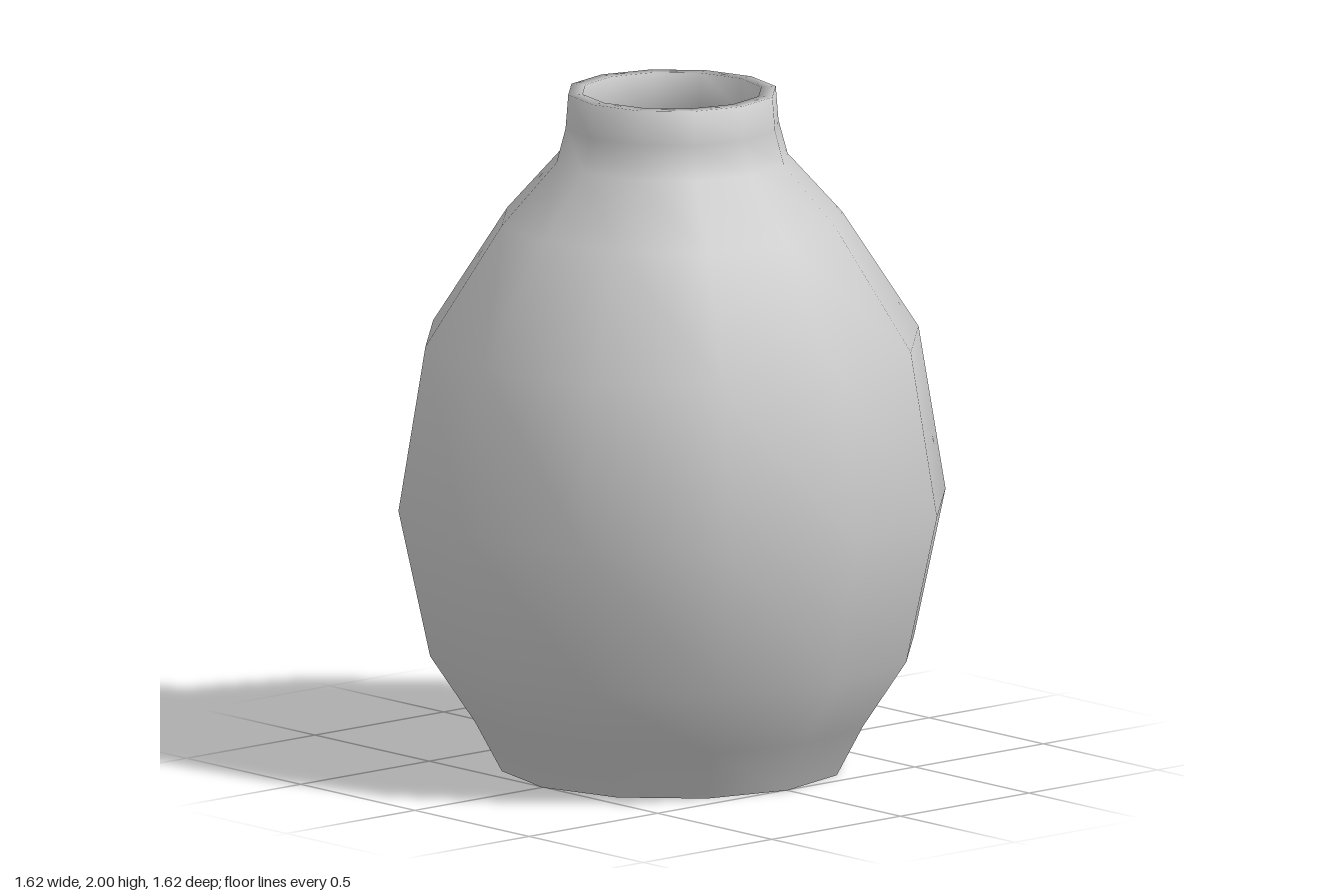
import * as THREE from 'three';

const SIDES = 12;

export function createModel() {
  const group = new THREE.Group();
  group.name = 'vase';
  const material = new THREE.MeshStandardMaterial({ color: 0xcccccc });

  // Outer wall from the foot up to the lip
  const outer = [
    [0.505, 0], [0.585, 0.15], [0.718, 0.35], [0.812, 0.785], [0.732, 1.27],
    [0.505, 1.62], [0.343, 1.8], [0.316, 1.9], [0.308, 2],
  ];
  // Inner wall from the lip down to the floor
  const inner = [
    [0.265, 2], [0.27, 1.9], [0.297, 1.8], [0.46, 1.6], [0.68, 1.26],
    [0.76, 0.785], [0.67, 0.37], [0.54, 0.17], [0.46, 0.05], [0, 0.05],
  ];
  const profile = [...outer, ...inner].map(([r, y]) => new THREE.Vector2(r, y));
  const body = new THREE.Mesh(new THREE.LatheGeometry(profile, SIDES), material);
  body.name = 'body';
  group.add(body);

  // Flat underside, kept separate for a sharp edge at the foot
  const base = new THREE.Mesh(new THREE.CircleGeometry(outer[0][0], SIDES), material);
  base.name = 'base';
  base.rotation.x = Math.PI / 2;
  group.add(base);

  return group;
}
